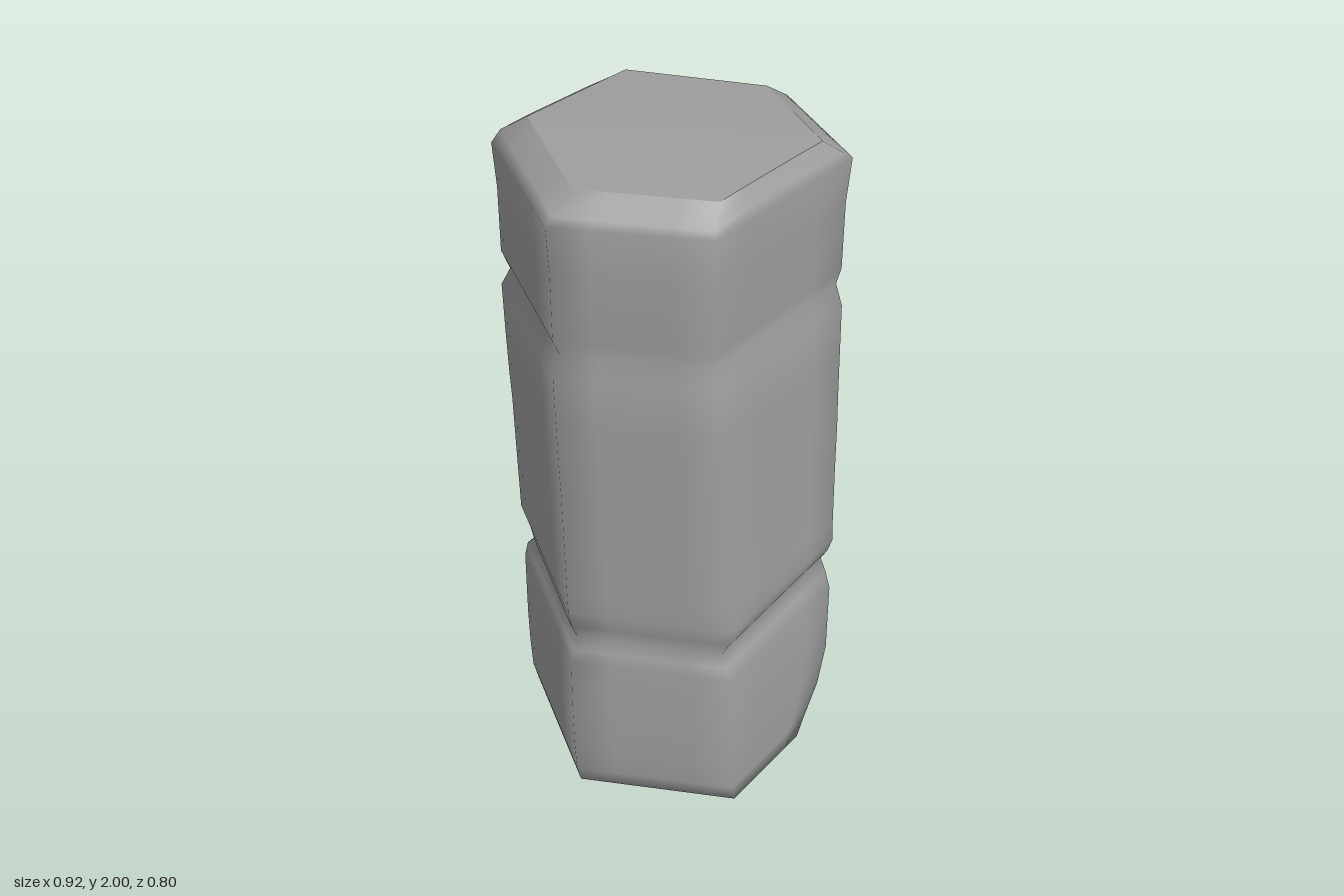
import * as THREE from 'three';

// Spacing of points along each of the six sides: wide next to a corner so it shades softly
const STEPS = [0, 0.25, 0.42, 0.58, 0.75];
// Height, then distance of the front-left face, the front face and the other faces from the axis
const ROWS = [
  [0.025, 0.275, 0.335, 0.32], [0.06, 0.30, 0.40, 0.385], [0.12, 0.325, 0.40, 0.397],
  [0.22, 0.37, 0.40, 0.40], [0.35, 0.395, 0.40, 0.40], [0.58, 0.397, 0.39, 0.395],
  [0.63, 0.39, 0.37, 0.387], [0.67, 0.38, 0.35, 0.37], [0.72, 0.387, 0.375, 0.387],
  [0.77, 0.392, 0.39, 0.395], [0.84, 0.39, 0.385, 0.395], [0.92, 0.39, 0.38, 0.395],
  [1.0, 0.39, 0.375, 0.395], [1.08, 0.39, 0.371, 0.395], [1.16, 0.39, 0.367, 0.395],
  [1.25, 0.388, 0.362, 0.397], [1.38, 0.387, 0.355, 0.398], [1.52, 0.385, 0.348, 0.398],
  [1.57, 0.37, 0.32, 0.375], [1.62, 0.385, 0.333, 0.393], [1.8, 0.387, 0.327, 0.39],
  [1.92, 0.395, 0.333, 0.395], [1.96, 0.375, 0.315, 0.373], [1.995, 0.315, 0.288, 0.314],
];
const { clamp } = THREE.MathUtils;
const bump = (t, width) => Math.exp(-((t / width) ** 2));

// Six-sided section: neighbouring side planes meet at the corners
function section([y, frontLeft, front, other]) {
  const dist = [frontLeft, front, other, other, other, other];
  const corners = dist.map((d, k) => {
    const prev = dist[(k + 5) % 6];
    const a = (k * Math.PI) / 3;
    const along = (d + prev) / Math.sqrt(3), across = d - prev;
    return new THREE.Vector2(
      Math.cos(a) * along - Math.sin(a) * across,
      Math.sin(a) * along + Math.cos(a) * across);
  });
  return corners.flatMap((c, k) => STEPS.map((s) => {
    const p = c.clone().lerp(corners[(k + 1) % 6], s);
    return weather(new THREE.Vector3(p.x, y, p.y));
  }));
}

// Worn details that vary around the column
function weather(p) {
  const { x, y, z } = p;
  const leftward = Math.max(0, x) / 0.45;
  // Tilted lower groove
  p.y += (0.07 * x - 0.05 * z) * bump(y - 0.68, 0.15);
  // Upper groove fades out on the left, base corner is worn away there
  p.x += leftward * (0.02 * bump(y - 1.57, 0.03) - 0.3 * Math.max(0, 0.24 - y));
  // Rounded, sloping top and base edges
  if (y > 1.95) p.y -= 0.07 * Math.max(0, z) + 0.1 * Math.max(0, Math.abs(x) - 0.18);
  if (y < 0.05) p.y += 0.06 * Math.max(0, z - 0.05);
  if (z < -0.3) {
    // Deeper groove and a chipped triangle below a diagonal crease in the back face
    p.z += 0.022 * bump(y - 0.68, 0.035);
    const below = (1.09 + 1.45 * x - y) / 1.76;
    p.z += 0.07 * clamp(below / 0.1, 0, 1) * clamp(1 - below / 0.5, 0, 1)
      * clamp((0.225 - x) / 0.08, 0, 1) * clamp((y - 0.68) / 0.1, 0, 1);
  }
  return p;
}

function mesh(name, points, index) {
  const geo = new THREE.BufferGeometry().setFromPoints(points);
  geo.setIndex(index);
  geo.computeVertexNormals();
  const m = new THREE.Mesh(geo, new THREE.MeshStandardMaterial({ color: 0x9d9d9d }));
  m.name = name;
  return m;
}

// Closes one end with a fan around its middle
function cap(name, ring, middleY, up) {
  const n = ring.length, index = [];
  for (let j = 0; j < n; j++) {
    const k = (j + 1) % n;
    index.push(n, ...(up ? [k, j] : [j, k]));
  }
  return mesh(name, [...ring, new THREE.Vector3(0, middleY, 0)], index);
}

export function createModel() {
  const group = new THREE.Group();
  group.name = 'stoneColumn';
  const rings = ROWS.map(section);
  const n = 6 * STEPS.length, index = [];
  for (let i = 0; i < rings.length - 1; i++) {
    for (let j = 0; j < n; j++) {
      const a = i * n + j, b = i * n + ((j + 1) % n);
      index.push(a, a + n, b, b, a + n, b + n);
    }
  }
  group.add(mesh('columnSides', rings.flat(), index));
  group.add(cap('columnTop', rings[rings.length - 1], 2, true));
  group.add(cap('columnBase', rings[0], 0, false));
  return group;
}
